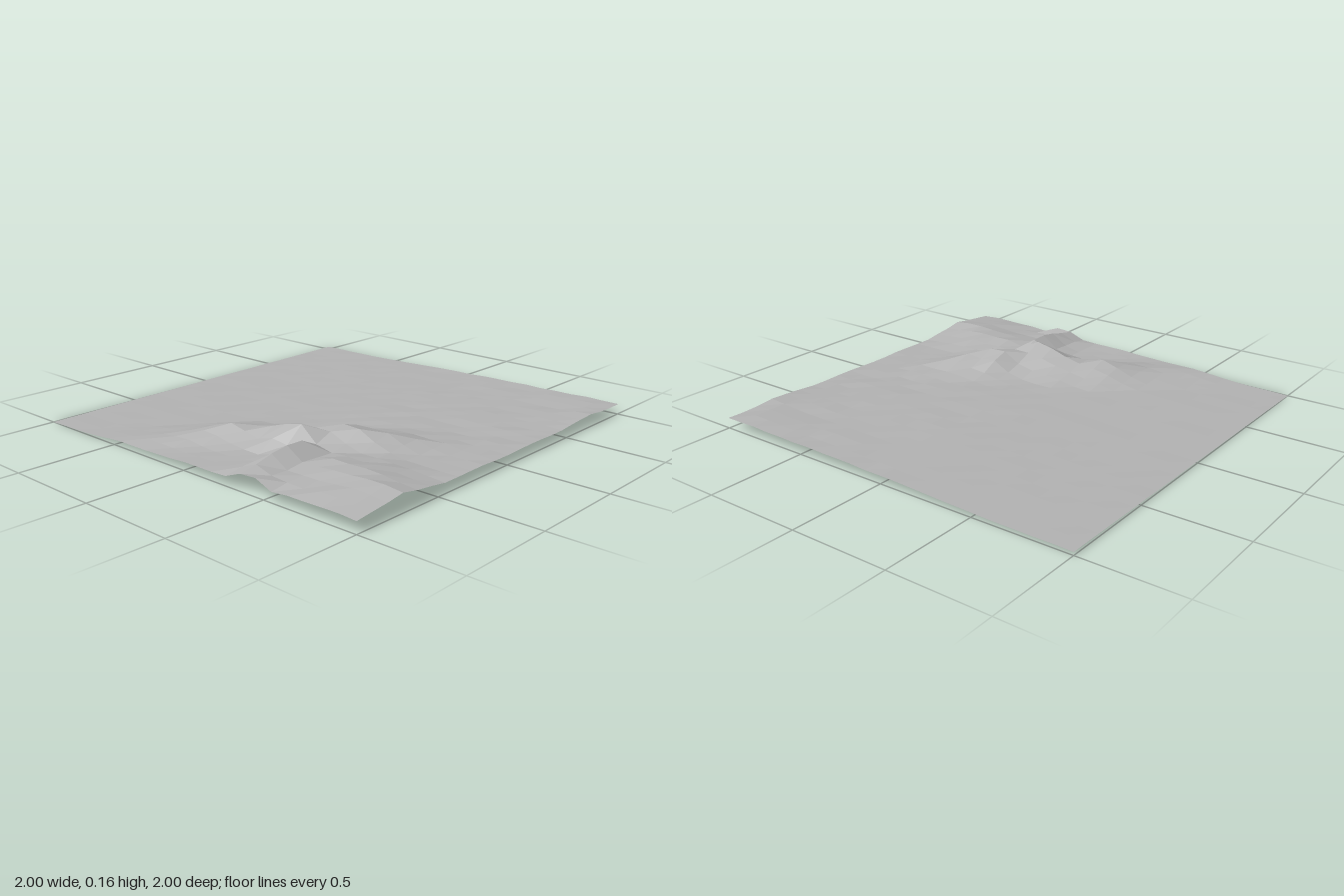
import * as THREE from 'three';

const CELLS = 22;
const STEP = 2 / CELLS;

// Gentle slope rising from left to right
const BASE = [[-1, 0.003], [-0.6, 0.012], [-0.4, 0.022], [-0.2, 0.033], [0, 0.041], [0.4, 0.05], [1, 0.051]];

// Ridge lines of [x, z, height], with a falloff width to the north and to the south or east
const RIDGES = [
  { north: 0.27, south: 0.17, line: [[-0.45, 1, 0.03], [-0.27, 0.82, 0.052], [-0.09, 0.64, 0.11],
    [0, 0.6, 0.109], [0.09, 0.545, 0.115], [0.18, 0.545, 0.145], [0.27, 0.545, 0.16],
    [0.36, 0.45, 0.133], [0.45, 0.36, 0.137], [0.55, 0.27, 0.118], [0.68, 0.18, 0.07]] },
  { north: 0.13, south: 0.14, line: [[0.41, 1, 0.1], [0.36, 0.91, 0.102], [0.36, 0.82, 0.12],
    [0.36, 0.73, 0.13], [0.36, 0.64, 0.132]] },
  { north: 0.3, south: 0.4, line: [[0.55, 0.64, 0.095], [0.73, 0.64, 0.1], [0.82, 0.73, 0.098],
    [0.91, 0.73, 0.094], [1, 0.73, 0.085]] },
  { north: 0.3, south: 0.3, line: [[0.82, -1, 0.056], [1, -0.73, 0.064]] },
];

// Single grid points: the notch below the summit and the northern shoulder
const SPOTS = [[0.273, 0.636, 0.088], [0.364, 0.545, 0.09], [0.364, 0.364, 0.14], [0.364, 0.273, 0.114]];

function baseHeight(x, z) {
  let i = 0;
  while (i < BASE.length - 2 && x > BASE[i + 1][0]) i++;
  const [x0, y0] = BASE[i];
  const [x1, y1] = BASE[i + 1];
  const tilt = 0.016 * (1 - z) / 2 * THREE.MathUtils.clamp(-x, 0, 1);
  return y0 + (y1 - y0) * (x - x0) / (x1 - x0) + tilt;
}

// Small repeatable roughness in -1..1
function rough(i, j) {
  const s = Math.sin(i * 12.9898 + j * 78.233) * 43758.5453;
  return (s - Math.floor(s)) * 2 - 1;
}

function terrainHeight(x, z, i, j) {
  for (const [sx, sz, h] of SPOTS) {
    if (Math.hypot(x - sx, z - sz) < STEP / 3) return h;
  }
  const base = baseHeight(x, z);
  let lift = 0;
  for (const { north, south, line } of RIDGES) {
    for (let k = 0; k < line.length - 1; k++) {
      const [ax, az, ah] = line[k];
      const [bx, bz, bh] = line[k + 1];
      const dx = bx - ax, dz = bz - az;
      const t = THREE.MathUtils.clamp(((x - ax) * dx + (z - az) * dz) / (dx * dx + dz * dz), 0, 1);
      const d = Math.hypot(x - ax - dx * t, z - az - dz * t);
      const width = dx * (z - az) - dz * (x - ax) > 0 ? south : north;
      const fall = Math.pow(Math.max(0, 1 - d / width), 1.2);
      lift = Math.max(lift, (ah + (bh - ah) * t - base) * fall);
    }
  }
  const amount = 0.0008 + 0.0022 * THREE.MathUtils.smoothstep(x, -0.6, 0.8) + Math.min(0.003, lift * 0.06);
  return Math.max(0, base + lift + rough(i, j) * amount);
}

export function createModel() {
  const group = new THREE.Group();
  group.name = 'landscape';

  const rock = new THREE.MeshStandardMaterial({ color: 0xb4b4b4, flatShading: true, side: THREE.DoubleSide });
  rock.name = 'grey rock';

  // Flat grid raised into hills
  const geometry = new THREE.PlaneGeometry(2, 2, CELLS, CELLS).rotateX(-Math.PI / 2);
  const p = geometry.attributes.position;
  for (let n = 0; n < p.count; n++) {
    const i = n % (CELLS + 1), j = Math.floor(n / (CELLS + 1));
    p.setY(n, terrainHeight(p.getX(n), p.getZ(n), i, j));
  }
  geometry.computeVertexNormals();
  geometry.computeBoundingBox();
  geometry.translate(0, -geometry.boundingBox.min.y, 0);

  const terrain = new THREE.Mesh(geometry, rock);
  terrain.name = 'terrain';
  group.add(terrain);
  return group;
}
